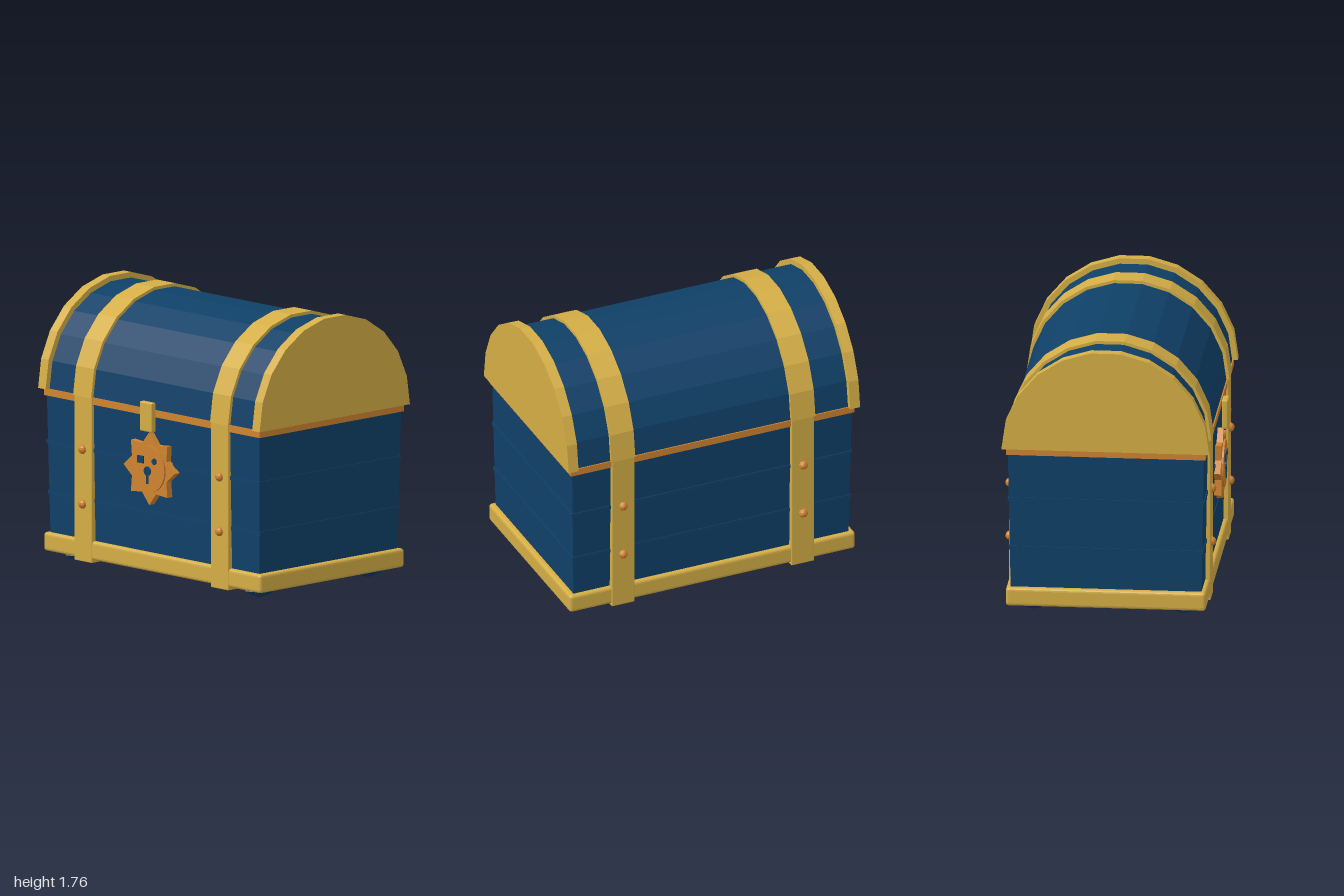
import * as THREE from 'three';
import { RoundedBoxGeometry } from 'three/addons/geometries/RoundedBoxGeometry.js';

function material(name, color) {
  const m = new THREE.MeshStandardMaterial({ color, flatShading: true });
  m.name = name;
  return m;
}

export function createModel() {
  const navy = material('navy wood', 0x0f4068);
  const gold = material('gold metal', 0xd4ad45);
  const bronze = material('bronze', 0xcf8430);

  const model = new THREE.Group();
  model.name = 'treasureChest';
  const ZC = -0.01; // depth centre of the chest
  const LID_Y = 1.11; // height of the lid's hinge line

  function add(name, geometry, mat, x = 0, y = 0, z = 0) {
    const mesh = new THREE.Mesh(geometry, mat);
    mesh.name = name;
    mesh.position.set(x, y, z);
    model.add(mesh);
    return mesh;
  }

  // Box given by its bottom and top heights
  function slab(name, mat, w, y0, y1, d, x = 0, z = ZC, bevel = 0) {
    const h = y1 - y0;
    const g = bevel ? new RoundedBoxGeometry(w, h, d, 2, bevel) : new THREE.BoxGeometry(w, h, d);
    return add(name, g, mat, x, (y0 + y1) / 2, z);
  }

  // Half drum with eleven facets, running along x
  function halfDrum(name, mat, radius, width, x = 0) {
    const points = [];
    for (let i = 0; i <= 11; i++) {
      const a = (i / 11) * Math.PI;
      points.push(new THREE.Vector2(radius * Math.cos(a), radius * Math.sin(a)));
    }
    const g = new THREE.ExtrudeGeometry(new THREE.Shape(points), { depth: width, bevelEnabled: false });
    g.translate(0, 0, -width / 2).rotateY(Math.PI / 2);
    return add(name, g, mat, x, LID_Y, ZC);
  }

  // Body, slightly narrower at the bottom
  const body = new THREE.BoxGeometry(1.92, 0.96, 1.235);
  const p = body.attributes.position;
  for (let i = 0; i < p.count; i++) {
    if (p.getY(i) < 0) p.setXYZ(i, p.getX(i) * 0.982, p.getY(i), p.getZ(i) * 0.972);
  }
  add('body', body, navy, 0, 0.61, ZC);

  // Thin plank seams around the body
  slab('lowerSeam', navy, 1.912, 0.435, 0.46, 1.222);
  slab('upperSeam', navy, 1.922, 0.757, 0.782, 1.236);

  // Base tray and rim
  slab('base', gold, 1.96, 0.07, 0.19, 1.26, 0, ZC, 0.02);
  slab('rim', bronze, 1.945, 1.065, 1.11, 1.256);

  // Rounded lid
  halfDrum('lid', navy, 0.62, 1.88);

  const foot = new THREE.LatheGeometry([
    new THREE.Vector2(0, 0), new THREE.Vector2(0.075, 0.028), new THREE.Vector2(0.115, 0.055),
    new THREE.Vector2(0.095, 0.08), new THREE.Vector2(0, 0.09),
  ], 7);
  const rivet = new THREE.SphereGeometry(0.03, 10, 8);

  for (const s of [-1, 1]) {
    halfDrum('lidEndCap', gold, 0.655, 0.068, s * 0.966);
    halfDrum('lidStrap', gold, 0.64, 0.163, s * 0.618);
    slab('bodyStrap', gold, 0.158, 0.052, 1.112, 1.27, s * 0.616, ZC, 0.006);
    for (const z of [0.47, -0.48]) add('foot', foot, navy, s * 0.81, 0.003, z);
    for (const y of [0.42, 0.77]) {
      for (const z of [0.625, -0.645]) add('rivet', rivet, bronze, s * 0.618, y, z);
    }
  }

  // Latch hanging from the lid
  slab('latch', gold, 0.11, 0.975, 1.165, 0.04, 0, 0.655, 0.01);

  // Sun-shaped lock plate
  const SUN_Y = 0.735;
  const star = [];
  for (let i = 0; i < 16; i++) {
    const a = (i / 16) * Math.PI * 2;
    const r = i % 2 ? 0.168 : 0.232;
    star.push(new THREE.Vector2(r * Math.cos(a), r * Math.sin(a)));
  }
  const starGeometry = new THREE.ExtrudeGeometry(new THREE.Shape(star), { depth: 0.045, bevelEnabled: false });
  add('sunRays', starGeometry, bronze, 0, SUN_Y, 0.598);

  function disc(name, mat, r, sides, x, y, z, depth) {
    const g = new THREE.CylinderGeometry(r, r, depth, sides).rotateX(Math.PI / 2);
    return add(name, g, mat, x, y, z);
  }
  disc('sunFace', bronze, 0.15, 24, 0, SUN_Y, 0.645, 0.02);

  // Face details and keyhole
  slab('squareEye', navy, 0.055, 0.767, 0.813, 0.009, -0.062, 0.658);
  disc('roundEye', navy, 0.021, 6, 0.062, 0.79, 0.658, 0.009);
  disc('keyhole', navy, 0.03, 12, 0, 0.722, 0.658, 0.009);
  slab('keySlot', navy, 0.017, 0.64, 0.71, 0.009, 0, 0.658);

  return model;
}
